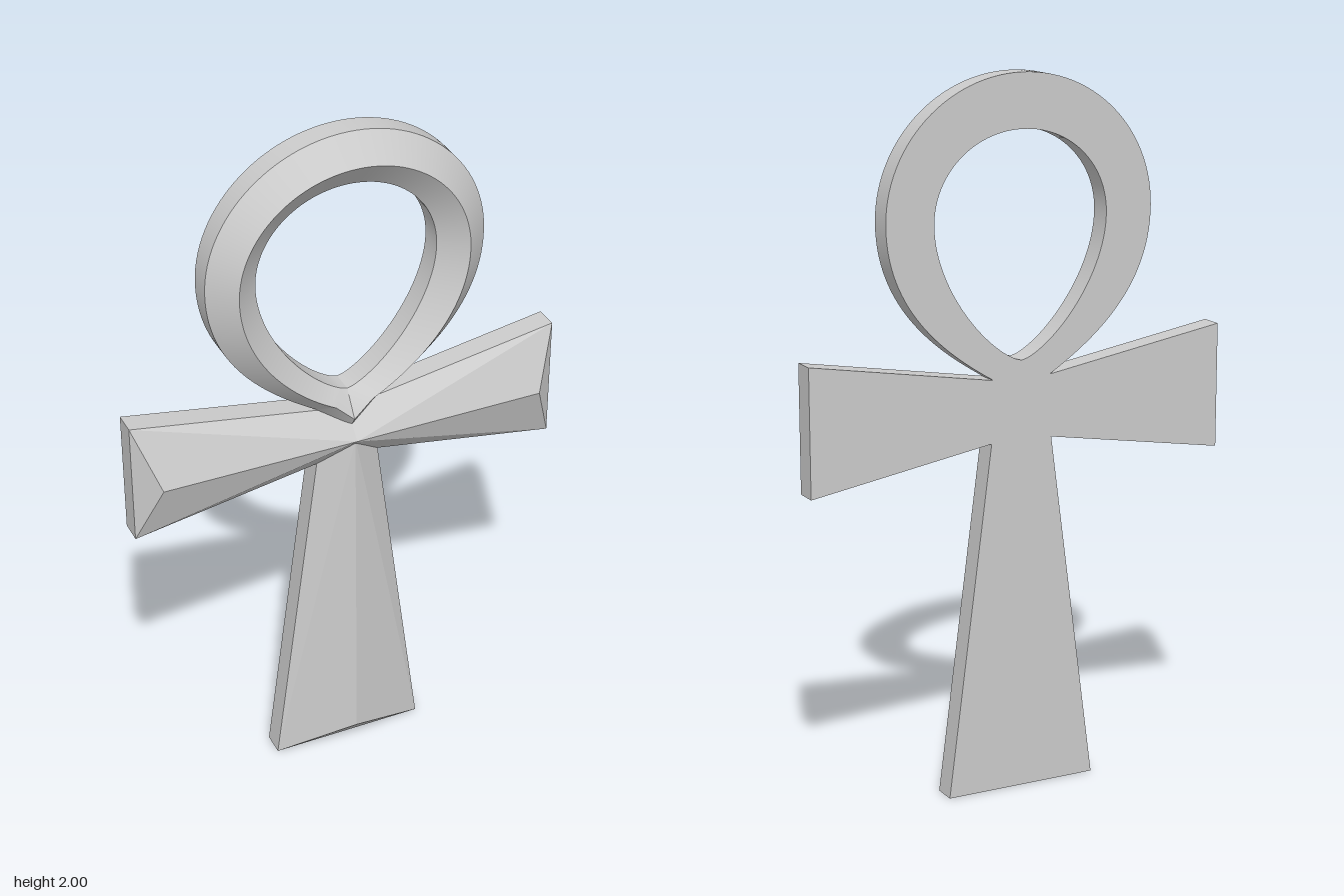
import * as THREE from 'three';
import { toCreasedNormals } from 'three/addons/utils/BufferGeometryUtils.js';
import { ConvexGeometry } from 'three/addons/geometries/ConvexGeometry.js';

const BACK = -0.067; // flat rear face; the bevels start at z = 0
const CENTRE_Y = 1.09;
const material = new THREE.MeshStandardMaterial({ color: 0xcccccc });
const v2 = (x, y) => new THREE.Vector2(x, y);

// Flared bar running along +y from the crossing, with a ridged front and hipped end
function flaredBar(name, length, startHalf, endHalf, ridgeLength, startRidge, endRidge, angle) {
  const points = [new THREE.Vector3(0, 0, startRidge), new THREE.Vector3(0, ridgeLength, endRidge)];
  for (const side of [-1, 1]) {
    for (const z of [BACK, 0]) {
      points.push(new THREE.Vector3(side * startHalf, 0, z));
      points.push(new THREE.Vector3(side * endHalf, length, z));
    }
  }
  const mesh = new THREE.Mesh(new ConvexGeometry(points), material);
  mesh.name = name;
  mesh.position.y = CENTRE_Y;
  mesh.rotation.z = angle;
  return mesh;
}

// Samples two joined Bezier curves given by seven control points
function samplePath(p, steps) {
  const upper = new THREE.CubicBezierCurve(p[0], p[1], p[2], p[3]).getPoints(steps);
  const lower = new THREE.CubicBezierCurve(p[3], p[4], p[5], p[6]).getPoints(steps);
  return [...upper, ...lower.slice(1)];
}

// Teardrop ring: ridged cross-sections between an outer and an inner outline
function teardropLoop() {
  const steps = 28;
  const outer = samplePath([v2(0, 2), v2(0.22, 2), v2(0.4, 1.83), v2(0.4, 1.62),
    v2(0.4, 1.4), v2(0.24, 1.27), v2(0.09, 1.18)], steps);
  const inner = samplePath([v2(0, 1.85), v2(0.145, 1.85), v2(0.26, 1.745), v2(0.26, 1.61),
    v2(0.26, 1.45), v2(0.12, 1.275), v2(0.018, 1.23)], steps);
  outer.push(v2(0, 1.08)); // closes the ring inside the crossing
  inner.push(v2(0, 1.225));

  const half = outer.map((o, i) => {
    const n = inner[i];
    const t = i / (outer.length - 1);
    const ridge = 0.062 - 0.014 * THREE.MathUtils.smoothstep(t, 0.6, 1);
    const m = o.clone().lerp(n, 0.5);
    return [[o.x, o.y, BACK], [o.x, o.y, 0], [m.x, m.y, ridge], [n.x, n.y, 0], [n.x, n.y, BACK]];
  });
  const mirrored = half.slice(1, -1).reverse()
    .map((section) => section.map(([x, y, z]) => [-x, y, z]));
  const sections = [...half, ...mirrored];

  const index = [];
  const sides = 5;
  for (let i = 0; i < sections.length; i++) {
    const next = (i + 1) % sections.length;
    for (let j = 0; j < sides; j++) {
      const k = (j + 1) % sides;
      const a = i * sides + j, b = next * sides + j;
      const c = next * sides + k, d = i * sides + k;
      index.push(a, d, c, a, c, b);
    }
  }
  const geometry = new THREE.BufferGeometry();
  geometry.setAttribute('position', new THREE.Float32BufferAttribute(sections.flat(2), 3));
  geometry.setIndex(index);
  const mesh = new THREE.Mesh(toCreasedNormals(geometry, 0.45), material);
  mesh.name = 'loop';
  return mesh;
}

export function createModel() {
  const group = new THREE.Group();
  group.name = 'loopedCross';
  group.add(teardropLoop());
  group.add(flaredBar('leftArm', 0.625, 0.073, 0.178, 0.56, 0.065, 0.063, -Math.PI / 2));
  group.add(flaredBar('rightArm', 0.625, 0.073, 0.178, 0.56, 0.065, 0.063, Math.PI / 2));
  group.add(flaredBar('leg', CENTRE_Y, 0.08, 0.225, 1.015, 0.054, 0.067, Math.PI));
  return group;
}
